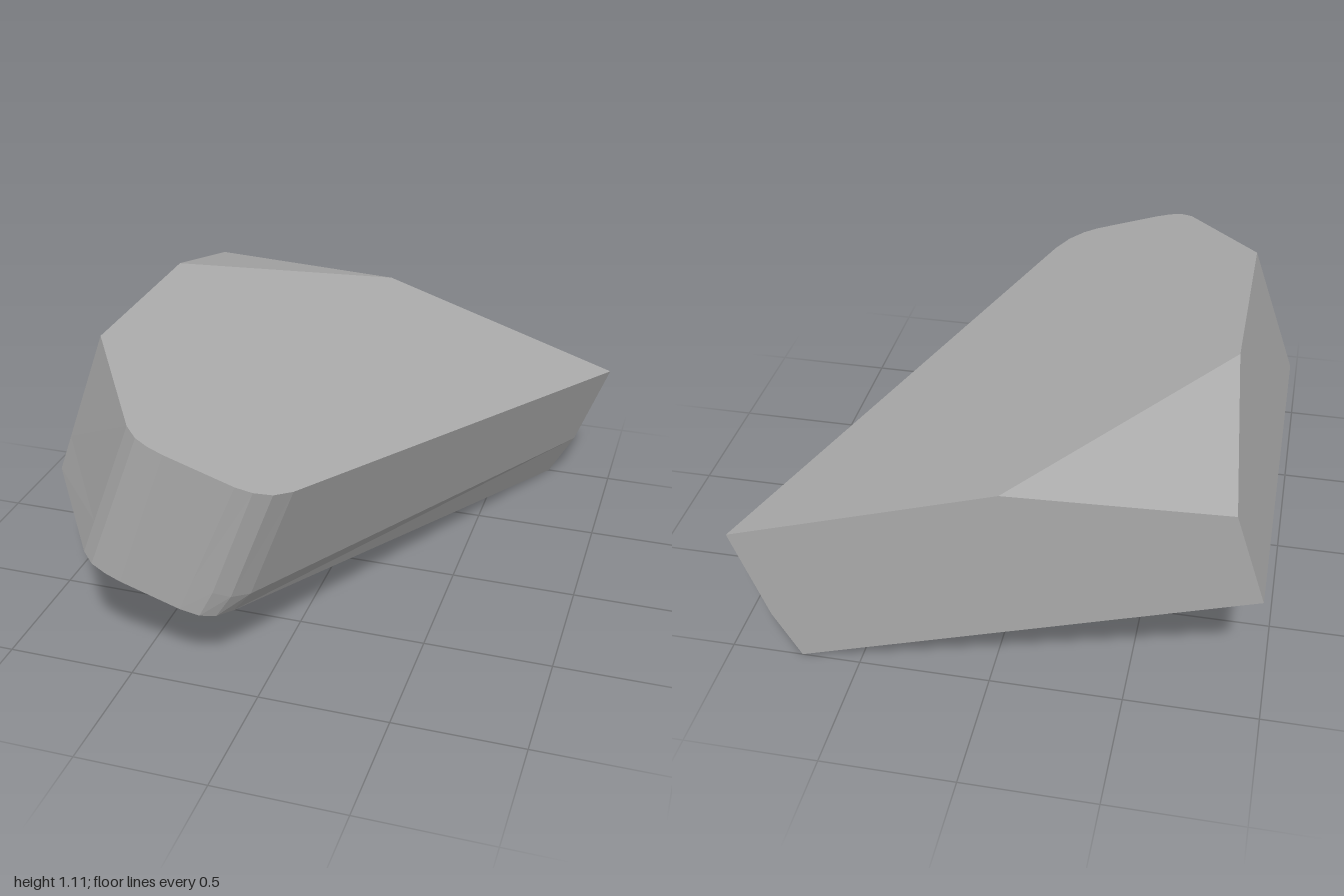
import * as THREE from 'three';

// Tilted planes that the upper and lower faces lie on
const topY = (x) => 1.115 - 0.323 * (x + 0.79);
const bottomY = (x) => 0.555 - 0.3245 * (x + 0.97);

// Outlines as [x, z], running left side, front, right side, back
const TOP = [
  [-0.79, 0.46], [-0.48, 0.93], [-0.43, 0.975], [-0.38, 0.993], [-0.32, 1],
  [-0.06, 1], [0.0, 0.987], [0.06, 0.95], [0.11, 0.88],
  [0.965, -1], [-0.05, -1], [-0.856, -1], [-0.79, -0.32],
];
const BOTTOM = [
  [-0.97, 0.53], [-0.69, 0.93], [-0.64, 0.975], [-0.58, 0.993], [-0.52, 1],
  [-0.29, 1], [-0.22, 0.987], [-0.17, 0.95], [-0.13, 0.88],
  [0.725, -1], [0, -1], [-0.97, -1], [-0.97, -0.32],
];
const CUT = 11; // back left corner, lowered by the sloping cut
// Crease where the right wall tucks in towards the bottom
const CREASE = { 6: [-0.165, 0.42, 0.987], 7: [-0.11, 0.39, 0.95], 8: [-0.06, 0.37, 0.88], 9: [0.83, 0.19, -1] };

function buildGeometry() {
  const top = TOP.map(([x, z], i) => new THREE.Vector3(x, i === CUT ? 0.91 : topY(x), z));
  const bottom = BOTTOM.map(([x, z]) => new THREE.Vector3(x, bottomY(x), z));
  const middle = top.map((p, i) => CREASE[i]
    ? new THREE.Vector3(...CREASE[i])
    : p.clone().lerp(bottom[i], 0.75));
  const corners = [];
  const n = top.length;

  // Walls, in an upper and a lower band
  for (const [low, high] of [[middle, top], [bottom, middle]]) {
    for (let i = 0; i < n; i++) {
      const j = (i + 1) % n;
      corners.push(low[i], low[j], high[j], low[i], high[j], high[i]);
    }
  }
  // Upper face without the cut corner, then the cut itself
  const upper = top.filter((_, i) => i !== CUT);
  for (let i = 1; i < upper.length - 1; i++) corners.push(upper[0], upper[i], upper[i + 1]);
  corners.push(top[CUT - 1], top[CUT], top[CUT + 1]);
  // Lower face
  for (let i = 1; i < n - 1; i++) corners.push(bottom[0], bottom[i + 1], bottom[i]);

  const geometry = new THREE.BufferGeometry().setFromPoints(corners);
  geometry.computeVertexNormals();
  return geometry;
}

export function createModel() {
  const group = new THREE.Group();
  group.name = 'tiltedWedge';
  const grey = new THREE.MeshStandardMaterial({ color: 0xaaaaaa });
  grey.name = 'grey';
  const slab = new THREE.Mesh(buildGeometry(), grey);
  slab.name = 'wedgeSlab';
  group.add(slab);
  return group;
}
